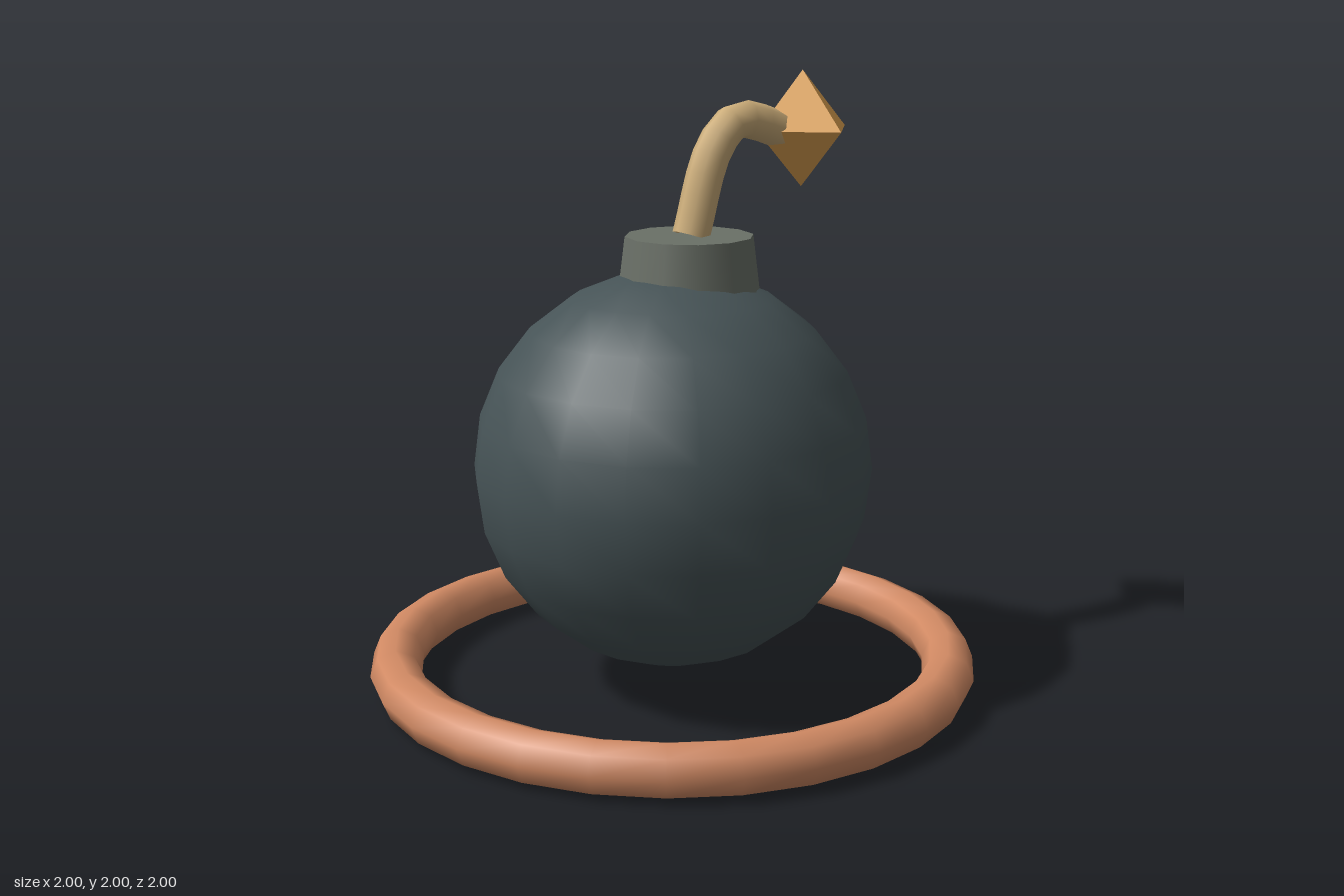
import * as THREE from 'three';

function addPart(group, name, geometry, color, position = [0, 0, 0], flatShading = false) {
  const material = new THREE.MeshStandardMaterial({ color });
  material.flatShading = flatShading;
  const mesh = new THREE.Mesh(geometry, material);
  mesh.name = name;
  mesh.position.set(...position);
  group.add(mesh);
  return mesh;
}

export function createModel() {
  const model = new THREE.Group();
  model.name = 'bomb';

  // Ring lying on the ground
  const ring = new THREE.TorusGeometry(0.916, 0.084, 8, 28).rotateX(Math.PI / 2);
  addPart(model, 'groundRing', ring, 0xd08963, [0, 0.084, 0]);

  // Round body
  addPart(model, 'body', new THREE.SphereGeometry(0.65, 18, 12), 0x465356, [0, 0.735, 0]);

  // Tapered neck, set slightly to one side
  addPart(model, 'neck', new THREE.CylinderGeometry(0.208, 0.235, 0.22, 12), 0x6a7067, [0.068, 1.38, 0]);

  // Curved fuse, its far end buried in the spark
  const path = new THREE.CatmullRomCurve3([
    new THREE.Vector3(0.075, 1.487, 0),
    new THREE.Vector3(0.165, 1.755, 0),
    new THREE.Vector3(0.26, 1.845, 0),
    new THREE.Vector3(0.49, 1.79, 0),
  ]);
  const fuse = addPart(model, 'fuse', new THREE.TubeGeometry(path, 10, 0.061, 8, false), 0xcdae7a);
  fuse.material.side = THREE.DoubleSide;

  // Faceted spark at the fuse tip
  addPart(model, 'spark', new THREE.OctahedronGeometry(0.192), 0xdfa252, [0.54, 1.803, 0], true);

  return model;
}
